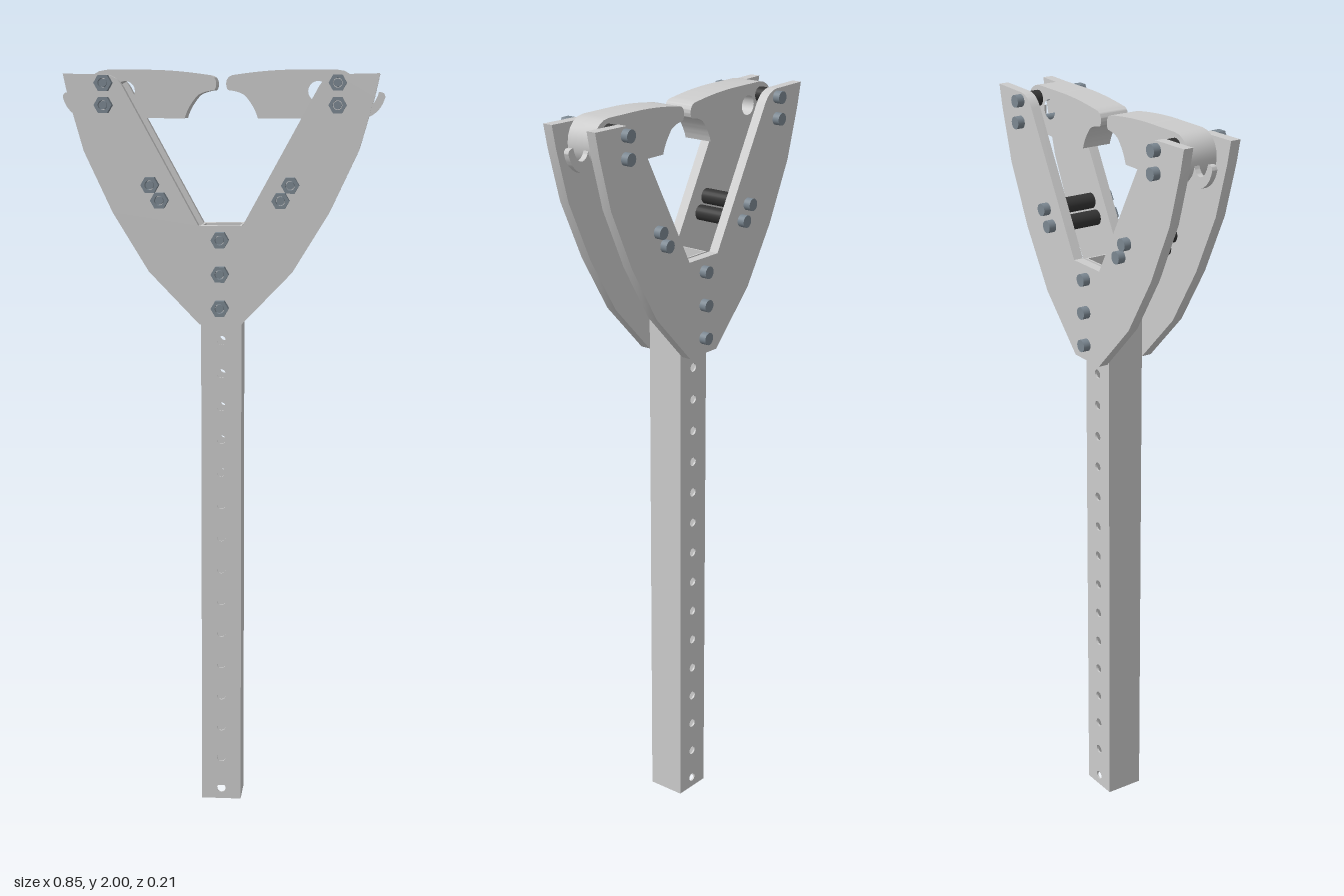
import * as THREE from 'three';
import { toCreasedNormals } from 'three/addons/utils/BufferGeometryUtils.js';

const grey = new THREE.MeshStandardMaterial({ color: 0xcccccc });
const steel = new THREE.MeshStandardMaterial({ color: 0x7b8791 });
const rubber = new THREE.MeshStandardMaterial({ color: 0x333333 });

// Depth layout, back to front
const BACK_OUT = -0.088, BACK_IN = -0.061, JAW_BACK = -0.033, FRONT_IN = 0.05, FRONT_OUT = 0.078;

function add(parent, name, geometry, material = grey) {
  const mesh = new THREE.Mesh(geometry, material);
  mesh.name = name;
  parent.add(mesh);
  return mesh;
}

// Extrude a shape between two z planes
function slab(shape, z0, z1) {
  const g = new THREE.ExtrudeGeometry(shape, { depth: z1 - z0, bevelEnabled: false, curveSegments: 10 });
  g.translate(0, 0, z0);
  return toCreasedNormals(g, 0.4);
}

function hole(x, y, r) {
  return new THREE.Path().absarc(x, y, r, 0, Math.PI * 2, true);
}

// Cylinder along z between two planes
function rod(x, y, r, z0, z1, sides = 24) {
  const g = new THREE.CylinderGeometry(r, r, z1 - z0, sides);
  g.rotateX(Math.PI / 2);
  g.translate(x, y, (z0 + z1) / 2);
  return g;
}

// Square hollow post with a row of holes front and back
function buildPost() {
  const post = new THREE.Group();
  post.name = 'post';
  const w = 0.054, t = 0.005, top = 1.596, zb = -0.055, zf = 0.05;
  const wall = new THREE.Shape([[-w, 0], [w, 0], [w, top], [-w, top]].map(p => new THREE.Vector2(...p)));
  for (let i = 0; i < 18; i++) wall.holes.push(hole(0, 0.03 + i * 0.09, 0.012));
  add(post, 'postFrontWall', slab(wall, zf - t, zf));
  add(post, 'postBackWall', slab(wall, zb, zb + t));
  for (const s of [-1, 1]) {
    const side = new THREE.BoxGeometry(t, top, zf - zb - 2 * t);
    side.translate(s * (w - t / 2), top / 2, (zf + zb) / 2);
    add(post, 'postSideWall', side);
  }
  return post;
}

// V-shaped cheek plate outline
function plateShape() {
  const outer = [[0.055, 1.335], [0.19, 1.475], [0.285, 1.63], [0.36, 1.79], [0.4, 1.93], [0.413, 1.99]];
  const s = new THREE.Shape();
  s.moveTo(...outer[0]);
  outer.slice(1).forEach(p => s.lineTo(...p));
  s.lineTo(0.315, 1.988);
  s.quadraticCurveTo(0.275, 1.99, 0.255, 1.955);
  s.lineTo(0.058, 1.596);
  s.lineTo(-0.058, 1.596);
  s.lineTo(-0.255, 1.955);
  s.quadraticCurveTo(-0.275, 1.99, -0.315, 1.988);
  outer.reverse().forEach(([x, y]) => s.lineTo(-x, y));
  return s;
}

// Gripping jaw with rounded outer end and a hooked nose
function jawShape(m) {
  const s = new THREE.Shape();
  s.moveTo(m * 0.21, 1.875);
  s.lineTo(m * 0.096, 1.875);
  s.quadraticCurveTo(m * 0.088, 1.905, m * 0.062, 1.934);
  s.quadraticCurveTo(m * 0.045, 1.945, m * 0.02, 1.947);
  s.quadraticCurveTo(m * 0.013, 1.95, m * 0.013, 1.965);
  s.quadraticCurveTo(m * 0.014, 1.982, m * 0.03, 1.986);
  s.quadraticCurveTo(m * 0.12, 2, m * 0.2, 2);
  s.lineTo(m * 0.3, 2);
  s.bezierCurveTo(m * 0.378, 2, m * 0.378, 1.875, m * 0.3, 1.875);
  s.closePath();
  s.holes.push(hole(m * 0.253, 1.945, 0.026));
  return s;
}

// Thin curled finger lever at the outer end of a jaw
function leverShape(m) {
  const s = new THREE.Shape();
  s.moveTo(m * 0.32, 1.885);
  s.lineTo(m * 0.385, 1.878);
  s.quadraticCurveTo(m * 0.418, 1.893, m * 0.427, 1.93);
  s.quadraticCurveTo(m * 0.426, 1.944, m * 0.41, 1.942);
  s.quadraticCurveTo(m * 0.4, 1.905, m * 0.378, 1.905);
  s.quadraticCurveTo(m * 0.36, 1.908, m * 0.355, 1.935);
  s.lineTo(m * 0.32, 1.94);
  s.closePath();
  return s;
}

// Through bolt: round head behind, hex nut in front
function buildBolt(x, y) {
  const bolt = new THREE.Group();
  bolt.name = 'bolt';
  const hex = new THREE.Shape();
  for (let i = 0; i < 6; i++) {
    const a = i * Math.PI / 3, px = x + 0.0235 * Math.cos(a), py = y + 0.0235 * Math.sin(a);
    if (i) hex.lineTo(px, py); else hex.moveTo(px, py);
  }
  hex.closePath();
  hex.holes.push(hole(x, y, 0.0125));
  add(bolt, 'boltNut', slab(hex, FRONT_OUT, 0.106), steel);
  add(bolt, 'boltShank', rod(x, y, 0.0105, BACK_OUT, 0.101), steel);
  add(bolt, 'boltHead', rod(x, y, 0.0165, -0.108, BACK_OUT), steel);
  return bolt;
}

export function createModel() {
  const model = new THREE.Group();
  model.name = 'clampOnPost';
  model.add(buildPost());

  const plate = plateShape();
  add(model, 'frontPlate', slab(plate, FRONT_IN, FRONT_OUT));
  add(model, 'backPlate', slab(plate, BACK_OUT, BACK_IN));

  // Post bolts
  for (const y of [1.38, 1.47, 1.56]) model.add(buildBolt(0, y));

  // Mirrored jaws, levers, bolts and spacers
  for (const m of [-1, 1]) {
    add(model, 'jaw', slab(jawShape(m), JAW_BACK, FRONT_IN));
    add(model, 'lever', slab(leverShape(m), -0.015, 0));
    for (const [x, y, zEnd] of [
      [0.305, 1.966, JAW_BACK], [0.305, 1.909, JAW_BACK],
      [0.184, 1.703, FRONT_IN], [0.159, 1.663, FRONT_IN],
    ]) {
      model.add(buildBolt(m * x, y));
      add(model, 'spacer', rod(m * x, y, 0.0207, BACK_IN, zEnd), rubber);
    }
  }
  return model;
}
